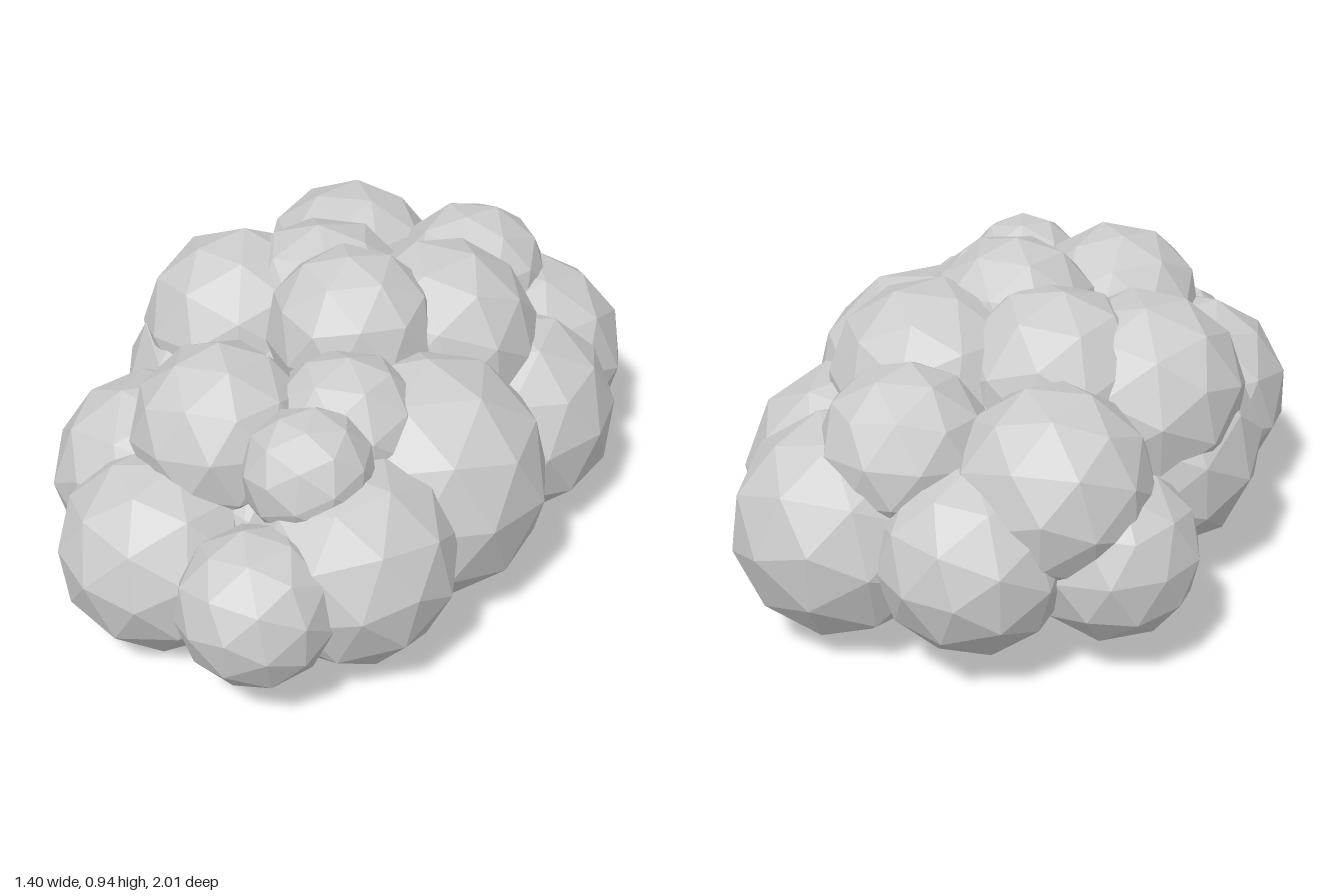
import * as THREE from 'three';

// Each puff: x, y, z, radius
const LOWER_PUFFS = [
  [0.09, 0.34, 0.785, 0.22],
  [0.24, 0.35, 0.51, 0.3],
  [0.3, 0.39, 0.13, 0.36],
  [0.4, 0.34, -0.33, 0.31],
  [0.33, 0.35, -0.64, 0.31],
  [-0.05, 0.36, -0.74, 0.265],
  [-0.385, 0.34, -0.6, 0.24],
  [-0.4, 0.4, -0.09, 0.305],
  [-0.42, 0.35, 0.36, 0.29],
  [-0.28, 0.29, 0.6, 0.29],
];
const CORE_PUFFS = [
  [-0.02, 0.29, 0.38, 0.29],
  [-0.03, 0.34, -0.33, 0.33],
  [-0.04, 0.36, 0.03, 0.32],
];
const UPPER_PUFFS = [
  [-0.23, 0.52, -0.62, 0.275],
  [0.165, 0.58, -0.62, 0.235],
  [0.2, 0.595, -0.25, 0.29],
  [-0.37, 0.57, -0.13, 0.29],
  [-0.14, 0.62, -0.22, 0.275],
  [0.02, 0.7, -0.03, 0.245],
  [-0.185, 0.575, 0.4, 0.255],
  [0.13, 0.59, 0.28, 0.22],
  [0.125, 0.6, 0.52, 0.183],
];

export function createModel() {
  const cloud = new THREE.Group();
  cloud.name = 'cloud';
  const material = new THREE.MeshStandardMaterial({ color: 0xcccccc, flatShading: true });
  const ball = new THREE.IcosahedronGeometry(1, 1);

  // Seeded turn so the facets of neighbouring puffs differ
  let seed = 7;
  const turn = () => {
    seed = (seed * 16807) % 2147483647;
    return (seed / 2147483647) * Math.PI * 2;
  };

  const addLayer = (layerName, puffName, puffs) => {
    const layer = new THREE.Group();
    layer.name = layerName;
    for (const [x, y, z, r] of puffs) {
      const puff = new THREE.Mesh(ball, material);
      puff.name = puffName;
      puff.position.set(x, y, z);
      puff.rotation.set(turn(), turn(), turn());
      puff.scale.setScalar(r);
      layer.add(puff);
    }
    cloud.add(layer);
  };

  // Outer ring, hidden middle with the underside, and the crown
  addLayer('lowerRing', 'lowerPuff', LOWER_PUFFS);
  addLayer('core', 'corePuff', CORE_PUFFS);
  addLayer('crown', 'upperPuff', UPPER_PUFFS);
  return cloud;
}
